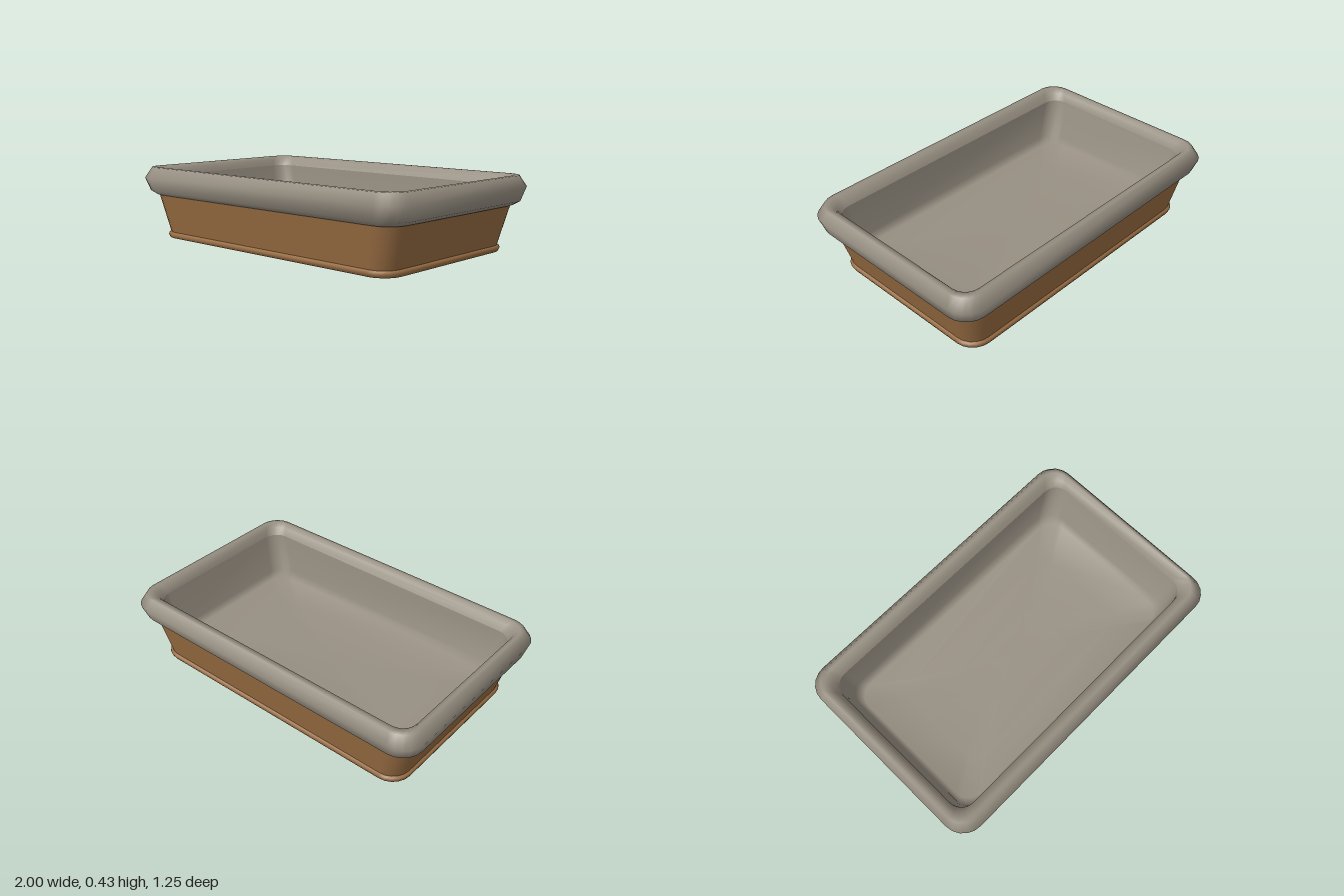
import * as THREE from 'three';

const CORNER_STEPS = 5;

// Rounded rectangle, counterclockwise from above: half width, half depth, radius, height
function ring([hx, hz, r, y]) {
  const points = [];
  const corners = [[1, -1], [-1, -1], [-1, 1], [1, 1]];
  corners.forEach(([sx, sz], c) => {
    for (let i = 0; i <= CORNER_STEPS; i++) {
      const a = (c + i / CORNER_STEPS) * Math.PI / 2;
      points.push([sx * (hx - r) + r * Math.cos(a), y, sz * (hz - r) - r * Math.sin(a)]);
    }
  });
  return points;
}

// Smooth skin through a list of rings; the ends may be closed by a fan
function loft(sections, { capStart = false, capEnd = false } = {}) {
  const rings = sections.map(ring);
  const n = rings[0].length;
  const positions = rings.flat(2);
  const index = [];
  for (let k = 0; k < rings.length - 1; k++) {
    for (let j = 0; j < n; j++) {
      const a = k * n + j, b = k * n + (j + 1) % n;
      index.push(a, b, b + n, a, b + n, a + n);
    }
  }
  const cap = (k, up) => {
    const centre = positions.length / 3;
    positions.push(0, sections[k][3], 0);
    for (let j = 0; j < n; j++) {
      const a = k * n + j, b = k * n + (j + 1) % n;
      index.push(centre, up ? a : b, up ? b : a);
    }
  };
  if (capStart) cap(0, false);
  if (capEnd) cap(rings.length - 1, true);
  const geometry = new THREE.BufferGeometry();
  geometry.setAttribute('position', new THREE.Float32BufferAttribute(positions, 3));
  geometry.setIndex(index);
  geometry.computeVertexNormals();
  return geometry;
}

export function createModel() {
  const clay = new THREE.MeshStandardMaterial({ color: 0x976c42 });
  clay.name = 'brown clay';
  const glaze = new THREE.MeshStandardMaterial({ color: 0x978f82 });
  glaze.name = 'grey glaze';

  const model = new THREE.Group();
  model.name = 'rectangularDish';
  const add = (name, geometry, material) => {
    const mesh = new THREE.Mesh(geometry, material);
    mesh.name = name;
    model.add(mesh);
  };

  // Flat underside
  add('underside', loft([[0.866, 0.516, 0.11, 0]], { capStart: true }), clay);

  // Rounded bead around the foot
  add('footBead', loft([
    [0.866, 0.516, 0.11, 0],
    [0.88, 0.53, 0.115, 0.004],
    [0.887, 0.537, 0.12, 0.02],
    [0.883, 0.533, 0.115, 0.033],
    [0.87, 0.52, 0.11, 0.04],
  ]), clay);

  // Flaring outer wall
  add('outerWall', loft([
    [0.873, 0.523, 0.11, 0.036],
    [0.932, 0.565, 0.12, 0.265],
  ]), clay);

  // Thick rolled rim
  add('rim', loft([
    [0.925, 0.56, 0.11, 0.262],
    [0.94, 0.57, 0.115, 0.264],
    [0.978, 0.598, 0.125, 0.288],
    [1.0, 0.625, 0.13, 0.365],
    [0.965, 0.587, 0.11, 0.428],
    [0.945, 0.565, 0.1, 0.43],
    [0.915, 0.532, 0.09, 0.412],
    [0.9, 0.51, 0.09, 0.37],
  ]), glaze);

  // Steep inner walls curving into a gently dished floor
  add('basin', loft([
    [0.9, 0.51, 0.09, 0.37],
    [0.85, 0.5, 0.1, 0.13],
    [0.82, 0.46, 0.1, 0.095],
    [0.6, 0.3, 0.08, 0.075],
    [0.3, 0.14, 0.05, 0.065],
  ], { capEnd: true }), glaze);

  return model;
}
